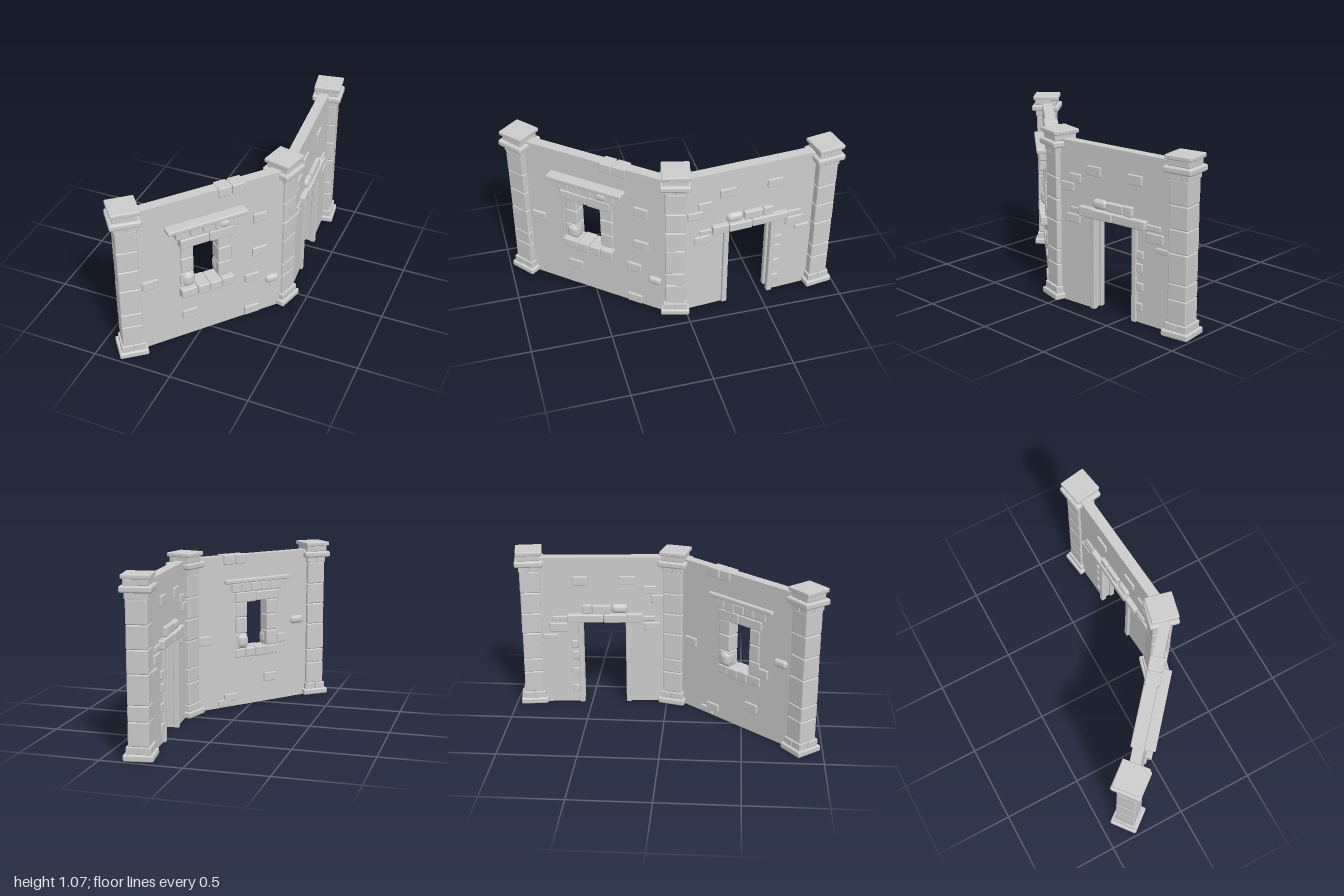
import * as THREE from 'three';
import { RoundedBoxGeometry } from 'three/addons/geometries/RoundedBoxGeometry.js';

const stoneMat = new THREE.MeshStandardMaterial({ color: 0xcccccc });

// small seeded generator for hand-cut irregularity, returns -1..1
let seed = 7;
function vary() {
  seed = (seed * 16807) % 2147483647;
  return (seed / 2147483647) * 2 - 1;
}

// one worn stone with softly rounded edges
function stone(parent, name, x, y, z, w, h, d, radius = 0.008) {
  const r = Math.min(radius, w * 0.45, h * 0.45, d * 0.45);
  const mesh = new THREE.Mesh(new RoundedBoxGeometry(w, h, d, 2, r), stoneMat);
  mesh.position.set(x, y, z);
  mesh.name = name;
  parent.add(mesh);
  return mesh;
}

// a line of stones from x0 to x1, split at the given fractions
function course(parent, name, cuts, y0, y1, z, depth) {
  for (let i = 0; i < cuts.length - 1; i++) {
    const w = cuts[i + 1] - cuts[i];
    const h = y1 - y0 + vary() * 0.004;
    stone(parent, name, (cuts[i] + cuts[i + 1]) / 2, (y0 + y1) / 2, z,
      w - 0.002, h, depth + vary() * 0.008);
  }
}

// four small stones forming a square ring layer
function quarterLayer(parent, name, y0, y1, size) {
  for (const sx of [-1, 1]) for (const sz of [-1, 1]) {
    const w = size / 2 + vary() * 0.003;
    stone(parent, name, sx * size / 4, (y0 + y1) / 2, sz * size / 4, w, y1 - y0, w, 0.005);
  }
}

function pillar(name, x, z, angle) {
  const g = new THREE.Group();
  g.name = name;
  g.position.set(x, 0, z);
  g.rotation.y = angle;
  stone(g, 'base', 0, 0.02, 0, 0.178, 0.04, 0.178, 0.01);
  quarterLayer(g, 'baseStone', 0.038, 0.082, 0.146);
  // stacked shaft blocks
  const joints = [0.08, 0.225, 0.32, 0.5, 0.64, 0.78, 0.927];
  for (let i = 0; i < joints.length - 1; i++) {
    const h = joints[i + 1] - joints[i];
    const block = stone(g, 'shaftBlock', 0, joints[i] + h / 2, 0,
      0.126 + vary() * 0.003, h - 0.001, 0.126 + vary() * 0.003, 0.008);
    block.rotation.y = vary() * 0.02;
  }
  quarterLayer(g, 'neckStone', 0.925, 0.968, 0.136);
  stone(g, 'capitalSlab', 0, 0.982, 0, 0.186, 0.04, 0.186, 0.012);
  stone(g, 'capitalBlock', 0, 1.021, 0, 0.145, 0.04, 0.145, 0.006);
  stone(g, 'capitalTop', 0, 1.052, 0, 0.171, 0.027, 0.171, 0.007).rotation.y = 0.03;
  return g;
}

// flat wall panel cut from a shape, centred on its thickness
function panel(parent, shape, thickness) {
  const geo = new THREE.ExtrudeGeometry(shape, { depth: thickness, bevelEnabled: false });
  geo.translate(0, 0, -thickness / 2);
  const mesh = new THREE.Mesh(geo, stoneMat);
  mesh.name = 'wallPanel';
  parent.add(mesh);
}

function outline(points) {
  return new THREE.Shape(points.map(([x, y]) => new THREE.Vector2(x, y)));
}

// loose bricks proud of the wall; entries are x, y, width, height, z
function bricks(parent, list) {
  for (const [x, y, w, h, z = 0, r = 0.006] of list)
    stone(parent, 'wallBrick', x, y, z, w, h, z === 0 ? 0.09 : 0.05, r);
}

function windowWall() {
  const g = new THREE.Group();
  g.name = 'windowWall';
  g.position.set(0, 0, 0.497);
  g.rotation.y = 0.862;
  const shape = outline([[-0.5, 0], [0.52, 0], [0.52, 1.015], [-0.5, 1.015]]);
  const hole = outline([[-0.09, 0.38], [-0.09, 0.71], [0.09, 0.71], [0.09, 0.38]]);
  shape.holes.push(hole);
  panel(g, shape, 0.065);

  // window surround: sill, lintel, brick row and ledge
  course(g, 'sillStone', [-0.175, -0.07, 0.01, 0.09, 0.175], 0.325, 0.388, 0.018, 0.12);
  course(g, 'lintelStone', [-0.175, 0.01, 0.175], 0.7, 0.766, 0.018, 0.13);
  course(g, 'arch', [-0.2, -0.11, -0.03, 0.05, 0.13, 0.2], 0.768, 0.83, 0.018, 0.12);
  stone(g, 'windowLedge', 0, 0.844, 0.022, 0.51, 0.029, 0.15, 0.008);
  stone(g, 'archBoulder', 0.11, 0.8, 0.045, 0.075, 0.058, 0.09, 0.028);

  // jambs, each with a rounded boulder at the foot
  for (const side of [-1, 1]) {
    const joints = [0.388, 0.49, 0.6, 0.7];
    for (let i = 0; i < 3; i++) {
      const w = 0.085 + vary() * 0.005;
      stone(g, 'jambStone', side * (0.08 + w / 2), (joints[i] + joints[i + 1]) / 2, 0.002,
        w, joints[i + 1] - joints[i] - 0.002, 0.088 + vary() * 0.006);
    }
    stone(g, 'jambBoulder', side * 0.115, 0.437, side < 0 ? 0.02 : -0.02, 0.085, 0.1, 0.085, 0.036);
  }

  const f = 0.022, b = -0.022;
  bricks(g, [
    [0.36, 0.737, 0.09, 0.064, f], [0.36, 0.485, 0.1, 0.062, f], [-0.36, 0.478, 0.1, 0.06, f],
    [0.31, 0.293, 0.095, 0.062, f], [0.45, 0.235, 0.09, 0.055, 0.03, 0.024],
    [-0.11, 0.167, 0.1, 0.06], [0.31, 0.037, 0.1, 0.062, f], [0.13, 0.99, 0.08, 0.062],
    [0.22, 0.99, 0.085, 0.062], [0.41, 0.47, 0.1, 0.06, b], [-0.33, 0.54, 0.1, 0.055, -0.03, 0.024],
    [0.21, 0.065, 0.1, 0.05, b], [0.26, 0.03, 0.1, 0.045, b], [-0.2, 0.43, 0.07, 0.06, b],
  ]);
  return g;
}

function doorWall() {
  const g = new THREE.Group();
  g.name = 'doorWall';
  g.position.set(0.313, 0, -0.42);
  g.rotation.y = 1.651;
  panel(g, outline([[-0.45, 0], [-0.165, 0], [-0.165, 0.6], [0.145, 0.6], [0.145, 0],
    [0.45, 0], [0.45, 1.015], [-0.45, 1.015]]), 0.065);

  // paired door posts on both wall faces
  for (const x of [-0.165, 0.147]) for (const z of [-0.033, 0.033])
    stone(g, 'doorPost', x, 0.29, z, 0.034, 0.58, 0.035, 0.006);
  course(g, 'doorLintel', [-0.262, -0.155, -0.005, 0.235], 0.578, 0.636, 0, 0.135);
  course(g, 'stoneAboveDoor', [-0.055, 0.07, 0.135], 0.637, 0.697, 0, 0.11);
  stone(g, 'boulderAboveDoor', -0.11, 0.667, 0, 0.108, 0.062, 0.12, 0.026);

  bricks(g, [
    [-0.16, 0.86, 0.105, 0.06], [0.145, 0.86, 0.1, 0.06],
    [-0.305, 0.795, 0.09, 0.055], [-0.365, 0.735, 0.1, 0.055],
    [-0.32, 0.542, 0.105, 0.055], [-0.3, 0.6, 0.08, 0.03],
    [0.28, 0.6, 0.1, 0.035], [0.29, 0.54, 0.12, 0.06], [0.345, 0.475, 0.095, 0.032],
    [0.185, 0.42, 0.05, 0.05], [0.18, 0.34, 0.05, 0.055], [0.185, 0.225, 0.05, 0.05],
    [0.18, 0.1, 0.05, 0.05],
  ]);
  return g;
}

export function createModel() {
  seed = 7;
  const model = new THREE.Group();
  model.name = 'ruinedWall';
  model.add(
    pillar('frontPillar', -0.317, 0.863, 0.67),
    pillar('cornerPillar', 0.333, 0.053, -0.26),
    pillar('backPillar', 0.288, -0.89, 0.145),
    windowWall(),
    doorWall(),
  );
  return model;
}
